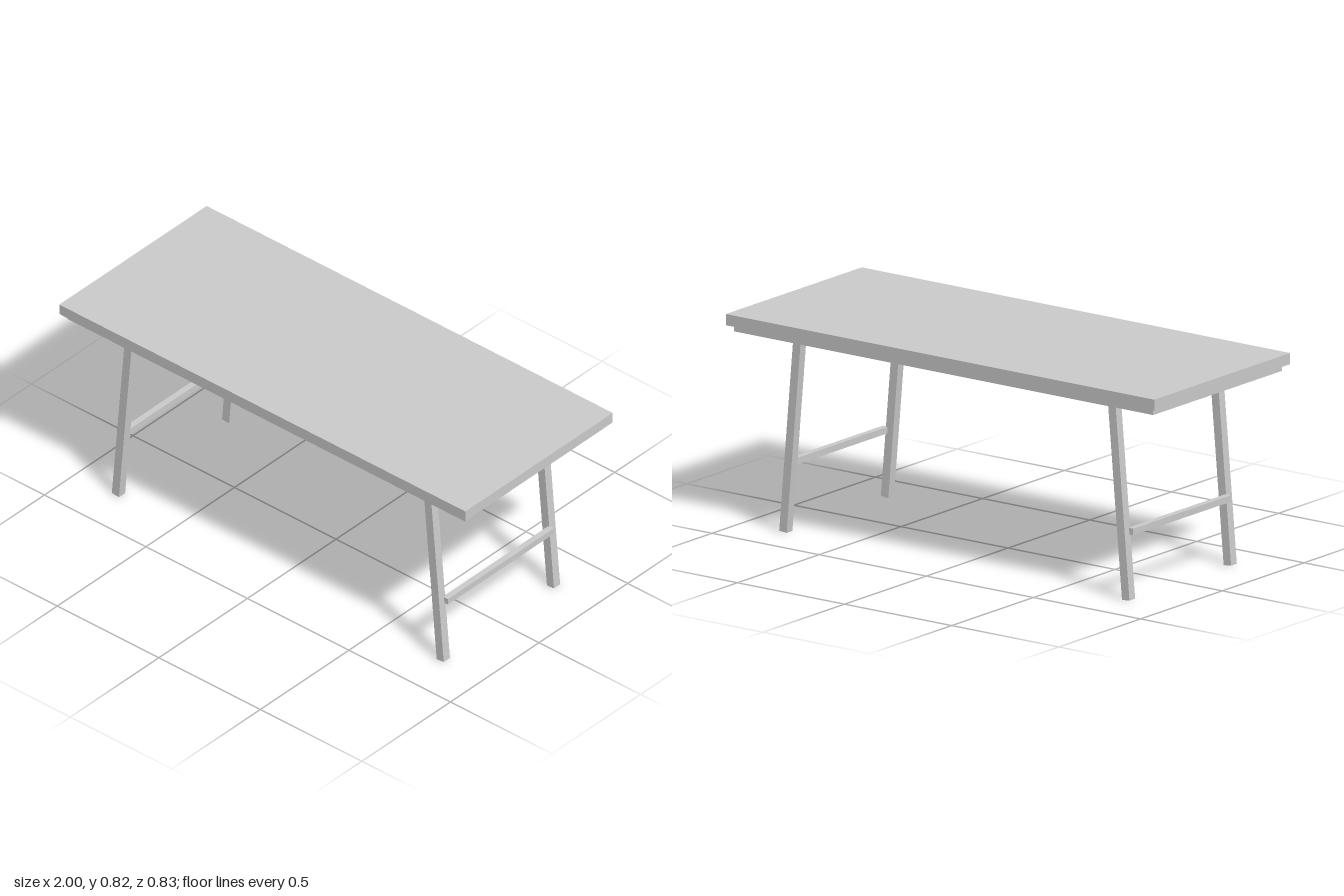
import * as THREE from 'three';

export function createModel() {
  const model = new THREE.Group();
  const grey = new THREE.MeshStandardMaterial({ color: 0xcccccc });
  grey.name = 'light grey';

  const addBox = (name, size, position, tilt = 0) => {
    const mesh = new THREE.Mesh(new THREE.BoxGeometry(...size), grey);
    mesh.name = name;
    mesh.position.set(...position);
    mesh.rotation.z = tilt;
    model.add(mesh);
  };

  // Table top with a slightly smaller panel just below it
  addBox('tableTop', [2, 0.043, 0.832], [0, 0.8035, 0]);
  addBox('underPanel', [1.956, 0.021, 0.787], [0, 0.7675, 0]);

  // Legs splay outwards by five degrees towards the ends of the table
  const splay = THREE.MathUtils.degToRad(5);
  const legWidth = 0.035;
  const legLength = 0.765;
  const legY = (legLength * Math.cos(splay) + legWidth * Math.sin(splay)) / 2;
  const legX = 0.8 - (legLength * Math.sin(splay)) / 2;

  for (const side of [1, -1]) {
    const sideName = side > 0 ? 'left' : 'right';
    for (const end of [1, -1]) {
      const name = sideName + (end > 0 ? 'FrontLeg' : 'BackLeg');
      addBox(name, [legWidth, legLength, legWidth], [side * legX, legY, end * 0.311], side * splay);
    }
    // Crossbar on the outer faces of each pair of legs
    addBox(sideName + 'Crossbar', [0.025, 0.025, 0.6], [side * 0.8, 0.26, 0]);
  }

  return model;
}
